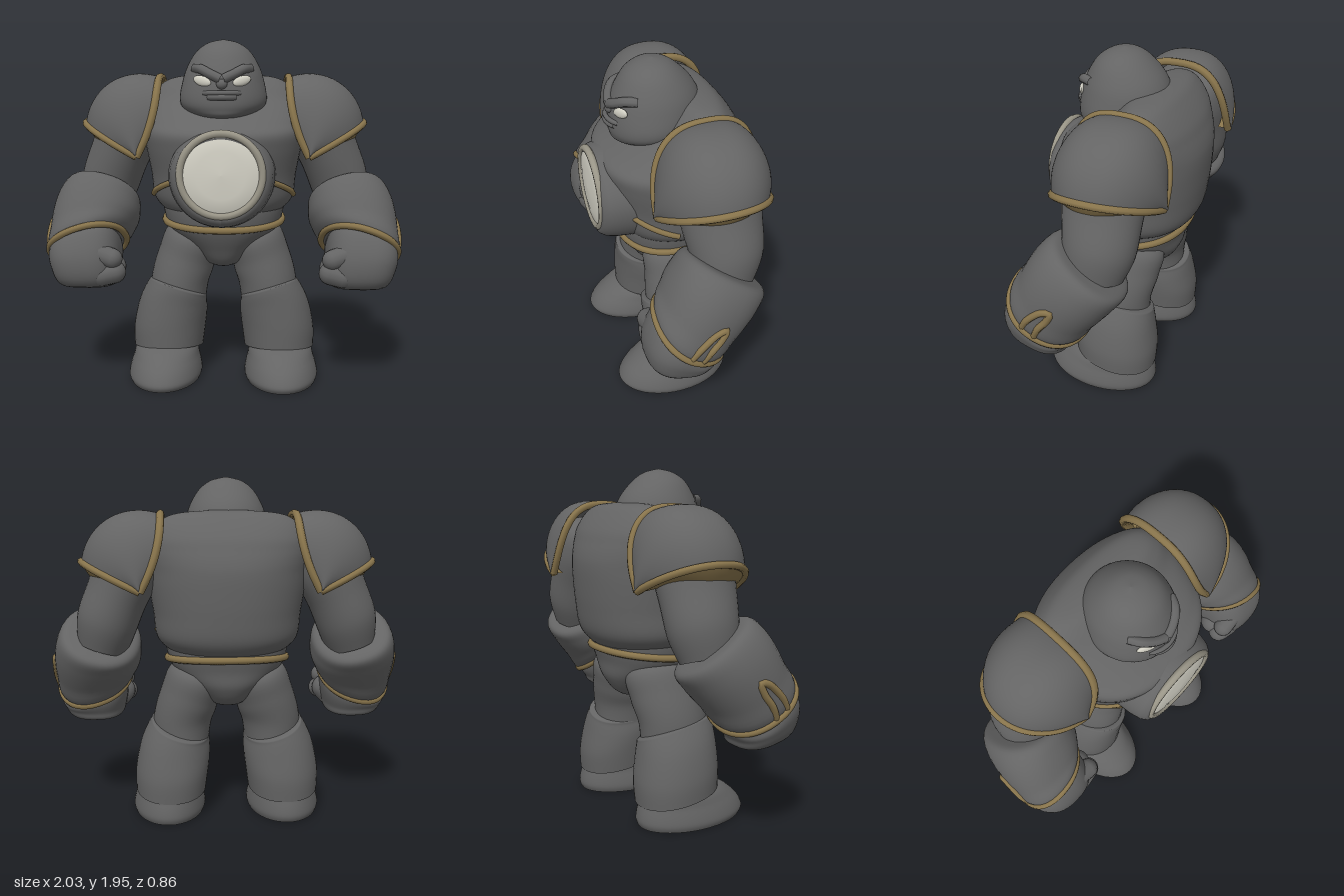
import * as THREE from 'three';

const mat = (name, color, side = THREE.FrontSide) => {
  const m = new THREE.MeshStandardMaterial({ color, side });
  m.name = name;
  return m;
};
const GREY = mat('stone grey', 0x646464, THREE.DoubleSide);
const GOLD = mat('dull gold', 0x89754c, THREE.DoubleSide);
const IVORY = mat('ivory', 0xd4d2c6);
const RING = mat('pale ring', 0x9a9688);
const BLACK = mat('sole black', 0x050505);

const V = (x, y, z) => new THREE.Vector3(x, y, z);

// Grid surface from a function of two parameters
function grid(fn, rows, cols, wrap = false, flip = false) {
  const pos = [], idx = [], n = wrap ? cols : cols + 1;
  for (let i = 0; i <= rows; i++)
    for (let j = 0; j < n; j++) pos.push(...fn(i / rows, j / cols).toArray());
  for (let i = 0; i < rows; i++)
    for (let j = 0; j < cols; j++) {
      const k = (j + 1) % n, a = i * n + j, b = a + n, c = i * n + k, d = c + n;
      idx.push(...(flip ? [a, c, b, c, d, b] : [a, b, c, c, b, d]));
    }
  const g = new THREE.BufferGeometry();
  g.setAttribute('position', new THREE.Float32BufferAttribute(pos, 3));
  g.setIndex(idx);
  g.computeVertexNormals();
  return g;
}

// Smoothly interpolated station [x, y, z, rx, rz, tiltX, rollZ]
function station(st, t) {
  const f = t * (st.length - 1), i = Math.min(Math.floor(f), st.length - 2), u = f - i;
  const at = k => st[Math.max(0, Math.min(st.length - 1, k))];
  return [0, 1, 2, 3, 4, 5, 6].map(c => {
    const [a, b, d, e] = [i - 1, i, i + 1, i + 2].map(k => at(k)[c] || 0);
    return b + 0.5 * u * (d - a + u * (2 * a - 5 * b + 4 * d - e + u * (3 * (b - d) + e - a)));
  });
}
const power = (v, e) => Math.sign(v) * Math.abs(v) ** e;
function ringPoint(st, t, a, p = 2, off = 0) {
  const [x, y, z, rx, rz, tilt, roll] = station(st, t);
  const r = V((Math.max(rx, 0) + off) * power(Math.cos(a), 2 / p), 0, (Math.max(rz, 0) + off) * power(Math.sin(a), 2 / p));
  return r.applyAxisAngle(V(1, 0, 0), tilt).applyAxisAngle(V(0, 0, 1), roll).add(V(x, y, z));
}
const loft = (st, p = 2, seg = 40) =>
  grid((t, a) => ringPoint(st, t, a * Math.PI * 2, p), (st.length - 1) * 6, seg, true);

// Upright body sections given as [y, half width, back z, front z]
const body = rows => rows.map(([y, w, b, f]) => [0, y, (b + f) / 2, w, (f - b) / 2, 0, 0]);
function onBody(st, y, a, off = 0, p = 2) {
  let lo = 0, hi = 1;
  for (let i = 0; i < 30; i++) {
    const m = (lo + hi) / 2;
    if (station(st, m)[1] < y) lo = m; else hi = m;
  }
  return ringPoint(st, lo, a, p, off);
}
const tube = (pts, r, closed = false) =>
  new THREE.TubeGeometry(new THREE.CatmullRomCurve3(pts, closed), pts.length * 5, r, 8, closed);
const span = (n, fn) => Array.from({ length: n }, (_, i) => fn(i / (n - 1)));
const mirrored = (st, s) => st.map(([x, y, z, rx, rz, t = 0, r = 0]) => [x * s, y, z, rx, rz, t, r * s]);

const CHEST = body([[0.95, 0.22, -0.25, 0.2], [0.98, 0.32, -0.33, 0.26], [1.06, 0.4, -0.395, 0.3], [1.2, 0.42, -0.42, 0.33],
  [1.34, 0.445, -0.43, 0.365], [1.43, 0.455, -0.43, 0.37], [1.49, 0.455, -0.42, 0.29], [1.55, 0.45, -0.4, 0.19], [1.62, 0.43, -0.37, 0.08],
  [1.7, 0.38, -0.31, 0.0], [1.75, 0.27, -0.25, -0.06], [1.77, 0, -0.15, -0.15]]);
const PELVIS = body([[0.65, 0, 0, 0], [0.68, 0.1, -0.2, 0.13], [0.78, 0.21, -0.29, 0.2], [0.88, 0.31, -0.31, 0.25],
  [0.97, 0.345, -0.33, 0.27], [1.08, 0.36, -0.33, 0.27]]);
const HEAD = body([[1.5, 0, 0.12, 0.12], [1.52, 0.13, -0.06, 0.26], [1.56, 0.215, -0.14, 0.29], [1.62, 0.245, -0.18, 0.295],
  [1.72, 0.23, -0.2, 0.28], [1.8, 0.203, -0.17, 0.25], [1.88, 0.153, -0.1, 0.2], [1.93, 0.085, -0.03, 0.13], [1.95, 0, 0.05, 0.05]]);
const THIGH = [[0.26, 0.4, -0.02, 0.15, 0.19], [0.26, 0.55, -0.02, 0.17, 0.2], [0.22, 0.7, -0.04, 0.17, 0.21, 0, 0.3],
  [0.17, 0.85, -0.05, 0.15, 0.2, 0, 0.3], [0.14, 0.95, -0.05, 0, 0]];
const SHIN = [[0.33, 0.16, -0.04, 0.205, 0.243, -0.16], [0.322, 0.28, -0.04, 0.213, 0.248, -0.16], [0.3, 0.41, -0.03, 0.203, 0.24, -0.17, 0.15],
  [0.275, 0.5, -0.02, 0.18, 0.232, -0.17, 0.3], [0.267, 0.522, -0.02, 0.165, 0.218, -0.17, 0.3],
  [0.266, 0.528, -0.02, 0.1, 0.14, -0.17, 0.3], [0.265, 0.53, -0.02, 0, 0, -0.17, 0.3]];
const FOOT = [[0.34, 0, 0.045, 0.205, 0.325], [0.34, 0.04, 0.045, 0.214, 0.337], [0.338, 0.12, 0.025, 0.195, 0.3],
  [0.335, 0.2, -0.02, 0.16, 0.22], [0.33, 0.25, -0.03, 0, 0]];
const UPPER_ARM = [[0.71, 1.0, -0.1, 0.14, 0.16, 0, 0.3], [0.68, 1.14, -0.12, 0.17, 0.19, 0, 0.4], [0.62, 1.3, -0.11, 0.175, 0.21, 0, 0.5],
  [0.55, 1.47, -0.1, 0.185, 0.22, 0, 0.5], [0.5, 1.6, -0.1, 0.13, 0.17, 0, 0.5], [0.48, 1.66, -0.1, 0, 0, 0, 0.5]];
const FOREARM = [[0.775, 0.75, 0.13, 0, 0, -0.6, -0.35], [0.775, 0.785, 0.12, 0.205, 0.215, -0.6, -0.35], [0.75, 0.89, 0.05, 0.245, 0.24, -0.6, -0.15],
  [0.735, 1.0, -0.03, 0.243, 0.25, -0.6, 0.1], [0.715, 1.07, -0.09, 0.213, 0.235, -0.6, 0.25],
  [0.71, 1.085, -0.1, 0.13, 0.15, -0.6, 0.25], [0.71, 1.085, -0.1, 0, 0, -0.6, 0.25]];
const FIST = [[0.77, 0.55, 0.18, 0, 0, -0.2], [0.77, 0.57, 0.18, 0.145, 0.15, -0.2], [0.78, 0.66, 0.18, 0.19, 0.195, -0.4],
  [0.78, 0.76, 0.14, 0.2, 0.205, -0.6, -0.2], [0.775, 0.84, 0.1, 0.17, 0.17, -0.6, -0.25]];

export function createModel() {
  const root = new THREE.Group();
  root.name = 'armouredGolem';
  const add = (name, geo, m, parent = root) => {
    const mesh = new THREE.Mesh(geo, m);
    mesh.name = name;
    parent.add(mesh);
    return mesh;
  };

  // Torso and belt
  add('chest', loft(CHEST, 2.2, 56), GREY);
  add('pelvis', loft(PELVIS, 2.2, 48), GREY);
  add('belt', tube(span(33, t => t * Math.PI * 2).slice(0, 32)
    .map(a => onBody(PELVIS, 0.93 - 0.03 * Math.sin(a), a, 0.006, 2.2)), 0.02, true), GOLD);

  // Round chest plate: housing (shallower at the top), rim and pale disc
  const turned = pts => new THREE.LatheGeometry(pts.map(p => new THREE.Vector2(...p)), 56).rotateX(Math.PI / 2);
  const housing = turned([[0.3, 0.18], [0.288, 0.32], [0.275, 0.375], [0.255, 0.405], [0.23, 0.416], [0.2, 0.4], [0, 0.4]]);
  const hp = housing.attributes.position;
  for (let i = 0; i < hp.count; i++) if (hp.getY(i) > 0) hp.setY(i, hp.getY(i) * 0.87);
  housing.computeVertexNormals();
  add('chestHousing', housing.translate(0, 1.215, 0), GREY);
  add('chestDisc', turned([[0.212, 0.395], [0.205, 0.412], [0.13, 0.424], [0.0001, 0.43]]).translate(0, 1.222, 0), IVORY);
  add('discRim', new THREE.TorusGeometry(0.22, 0.021, 10, 56).translate(0, 1.222, 0.405), RING);

  // Head and face
  add('head', loft(HEAD, 2, 48), GREY);
  const face = (y, a, off = 0) => onBody(HEAD, y, a, off);
  for (const [y, r, w] of [[1.652, 0.013, 0.42], [1.63, 0.017, 0.3]])
    add('lip', tube(span(7, t => face(y, Math.PI / 2 + w * (2 * t - 1), 0.012 - 0.018 * (2 * t - 1) ** 2)), r), GREY);
  const nose = add('nose', new THREE.SphereGeometry(1, 16, 12), GREY);
  nose.scale.set(0.03, 0.028, 0.024);
  nose.position.set(0, 1.7, 0.285);

  for (const s of [1, -1]) {
    const side = new THREE.Group();
    side.name = s > 0 ? 'leftSide' : 'rightSide';
    root.add(side);
    const part = (name, geo, m = GREY) => add(name, geo, m, side);
    const ang = a => (s > 0 ? a : Math.PI - a);

    // Brow and eye
    part('brow', tube([[1.725, 1.55], [1.752, 1.3], [1.782, 1.0], [1.785, 0.7]].map(([y, a], i) => face(y, ang(a), i < 3 ? 0.008 : -0.012)), 0.026));
    const eye = part('eye', new THREE.SphereGeometry(1, 16, 12), IVORY);
    eye.scale.set(0.055, 0.027, 0.014);
    eye.position.copy(face(1.717, ang(1.09), 0.001));
    eye.rotation.set(0, s * 0.42, s * 0.28);

    // Strap running from the flank towards the chest plate
    part('chestStrap', tube(span(9, t => onBody(CHEST, 1.08 + 0.11 * t, ang(0.2 + 0.85 * t), 0.002, 2.2)), 0.017), GOLD);

    // Leg
    part('thigh', loft(mirrored(THIGH, s)));
    part('shinGuard', loft(mirrored(SHIN, s), 2.15));
    part('foot', loft(mirrored(FOOT, s)));
    part('sole', new THREE.CircleGeometry(1, 40).rotateX(Math.PI / 2).scale(0.205, 1, 0.325).translate(0.34 * s, 0, 0.045), BLACK);

    // Arm
    const fore = mirrored(FOREARM, s);
    part('upperArm', loft(mirrored(UPPER_ARM, s)));
    part('forearm', loft(fore, 2.2));
    part('fist', loft(mirrored(FIST, s), 2.6));
    part('wristBand', tube(span(25, t => t * Math.PI * 2).slice(0, 24).map(a => ringPoint(fore, 0.18, a, 2.2, 0.003)), 0.019, true), GOLD);
    part('wristArch', tube([[0.18, 0.32], [0.28, 0.26], [0.38, 0.08], [0.41, -0.05], [0.36, -0.06], [0.28, 0], [0.18, 0]]
      .map(([t, a]) => ringPoint(fore, t, ang(a), 2.2, -0.002)), 0.019), GOLD);
    for (const [name, a, b, r] of [['thumb', [0.68, 0.77, 0.28], [0.61, 0.745, 0.285], 0.058],
      ['indexFinger', [0.67, 0.65, 0.28], [0.6, 0.665, 0.27], 0.064], ['innerFingers', [0.66, 0.64, 0.18], [0.62, 0.68, 0.2], 0.075]]) {
      const p = V(a[0] * s, a[1], a[2]), q = V(b[0] * s, b[1], b[2]);
      const finger = part(name, new THREE.CapsuleGeometry(r, p.distanceTo(q), 6, 14));
      finger.position.copy(p).add(q).multiplyScalar(0.5);
      finger.quaternion.setFromUnitVectors(V(0, 1, 0), q.sub(p).normalize());
    }

    // Shoulder pad: a domed lune between two arcs that meet front and back; inset pulls the lip inwards
    const pad = (v, u, inset = 0) => {
      const a = u * Math.PI, th = 1.82 - 1.35 * v, e = 0.75 + 0.2 * v, w = Math.sin(a) ** e;
      const swell = 1 + 0.08 * Math.sin(Math.PI * Math.min(v, 1));
      const r = (0.44 - 0.07 * v) * swell * w - inset * w;
      return V(s * (0.48 + r * Math.cos(th) - 0.13 * w * (1 - w) * (1 - Math.min(v, 1))), 1.3 + 0.04 * u + r * Math.sin(th),
        -0.1 + (0.285 * swell - inset) * power(Math.cos(a), e));
    };
    part('shoulderPad', grid((v, u) => pad(v, u), 24, 40, false, s < 0));
    part('padInnerTrim', tube(span(25, u => pad(0, u)), 0.022), GOLD);
    part('padOuterTrim', tube(span(25, u => pad(1, u)), 0.02), GOLD);
    part('padUnderLip', grid((v, u) => pad(1 + 0.13 * v, u, 0.06 * v), 3, 40, false, s < 0), GOLD);
  }
  return root;
}
